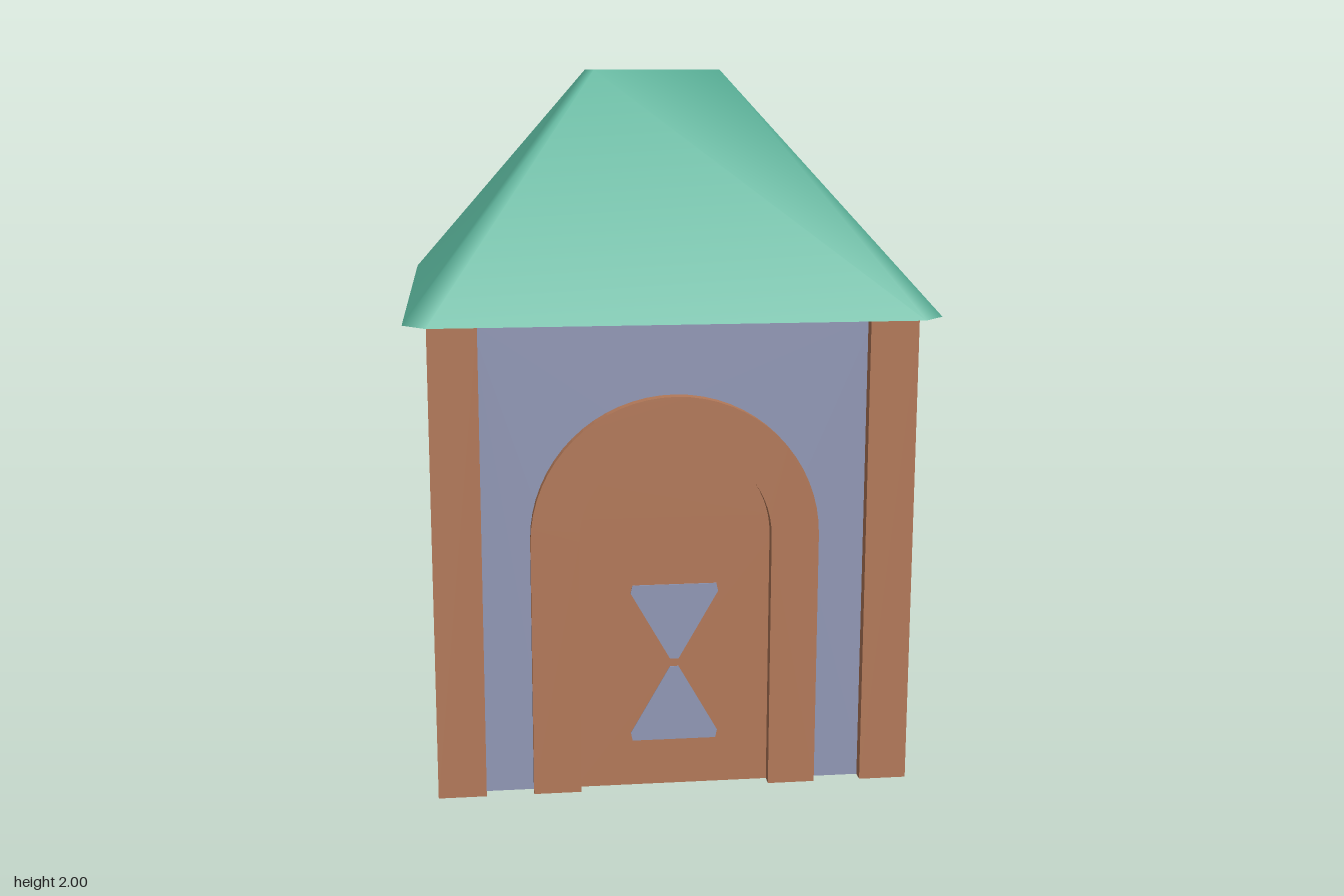
import * as THREE from 'three';

const slate = new THREE.MeshStandardMaterial({ name: 'slateWall', color: 0x9198b6 });
const wood = new THREE.MeshStandardMaterial({ name: 'terracottaWood', color: 0xb37959 });
const green = new THREE.MeshStandardMaterial({ name: 'greenRoof', color: 0x58b198 });

const EAVE = 1.34, WALL_IN = 0.567, WALL_OUT = 0.633, FACE_IN = 0.533, FACE_OUT = 0.667;

function add(parent, name, geometry, material) {
  const mesh = new THREE.Mesh(geometry, material);
  mesh.name = name;
  parent.add(mesh);
  return mesh;
}

// extrudes a shape between two depths along z
function slab(shape, z0, z1) {
  const g = new THREE.ExtrudeGeometry(shape, { depth: z1 - z0, bevelEnabled: false, curveSegments: 16 });
  return g.translate(0, 0, z0);
}

function polygon(points) {
  return new THREE.Shape(points.map(([x, y]) => new THREE.Vector2(x, y)));
}

// rectangle centred on x, with optional cut corners
function rect(w, y0, y1, c = 0) {
  if (!c) return polygon([[-w, y0], [w, y0], [w, y1], [-w, y1]]);
  return polygon([[-w + c, y0], [w - c, y0], [w, y0 + c], [w, y1 - c],
    [w - c, y1], [-w + c, y1], [-w, y1 - c], [-w, y0 + c]]);
}

// round-topped doorway outline
function arch(r, spring = 0.733) {
  const s = new THREE.Shape();
  s.moveTo(-r, 0).lineTo(r, 0).lineTo(r, spring);
  s.absarc(0, spring, r, 0, Math.PI, false);
  s.lineTo(-r, 0);
  return s;
}

function plainSide() {
  const g = new THREE.Group();
  add(g, 'wall', slab(rect(0.55, 0, EAVE), WALL_IN, WALL_OUT), slate);
  return g;
}

function windowSide() {
  const g = new THREE.Group();
  const wall = rect(0.55, 0, EAVE);
  wall.holes.push(rect(0.12, 0.36, 0.98));
  add(g, 'windowWall', slab(wall, WALL_IN, WALL_OUT), slate);
  // raised window frame
  const frame = rect(0.15, 0.33, 1.01);
  frame.holes.push(rect(0.09, 0.39, 0.95));
  add(g, 'windowFrame', slab(frame, FACE_IN, FACE_OUT), wood);
  // flat border around the frame, outside and inside
  const border = rect(0.207, 0.275, 1.065, 0.015);
  border.holes.push(rect(0.12, 0.36, 0.98));
  add(g, 'windowBorderOutside', slab(border, WALL_OUT, WALL_OUT + 0.004), wood);
  add(g, 'windowBorderInside', slab(border, WALL_IN - 0.004, WALL_IN), wood);
  return g;
}

function doorSide() {
  const g = new THREE.Group();
  // wall with the doorway notched out of its foot
  const wall = new THREE.Shape();
  wall.moveTo(-0.55, 0).lineTo(-0.35, 0).lineTo(-0.35, 0.733);
  wall.absarc(0, 0.733, 0.35, Math.PI, 0, true);
  wall.lineTo(0.35, 0).lineTo(0.55, 0).lineTo(0.55, EAVE).lineTo(-0.55, EAVE);
  add(g, 'doorWall', slab(wall, WALL_IN, WALL_OUT), slate);
  // arched frame
  const frame = new THREE.Shape();
  frame.moveTo(0.267, 0).lineTo(0.4, 0).lineTo(0.4, 0.733);
  frame.absarc(0, 0.733, 0.4, 0, Math.PI, false);
  frame.lineTo(-0.4, 0).lineTo(-0.267, 0).lineTo(-0.267, 0.733);
  frame.absarc(0, 0.733, 0.267, Math.PI, 0, true);
  add(g, 'doorFrame', slab(frame, FACE_IN, FACE_OUT), wood);
  add(g, 'doorPanel', slab(arch(0.28), WALL_IN, WALL_OUT), wood);
  // two painted triangles, on both faces of the door
  const half = [[-0.012, 0.375], [0.012, 0.375], [0.123, 0.57], [0.118, 0.593], [-0.118, 0.593], [-0.123, 0.57]];
  const upper = polygon(half);
  const lower = polygon(half.map(([x, y]) => [-x, 0.727 - y]));
  for (const shape of [upper, lower]) {
    add(g, 'doorTriangleOutside', slab(shape, WALL_OUT, WALL_OUT + 0.003), slate);
    add(g, 'doorTriangleInside', slab(shape, WALL_IN - 0.003, WALL_IN), slate);
  }
  return g;
}

function indexed(points, index) {
  const g = new THREE.BufferGeometry();
  g.setAttribute('position', new THREE.Float32BufferAttribute(points.flat(), 3));
  g.setIndex(index);
  g.computeVertexNormals();
  return g;
}

// repeats points at the four corners by quarter turns about y
function ring(y, corner) {
  const out = [];
  for (let k = 0; k < 4; k++) {
    for (let [x, z] of corner) {
      for (let i = 0; i < k; i++) [x, z] = [-z, x];
      out.push([x, y, z]);
    }
  }
  return out;
}

function buildRoof() {
  const g = new THREE.Group();
  g.name = 'roof';
  const eave = ring(EAVE, [[0.73, 0.667], [0.667, 0.73]]);
  const rim = ring(2, [[0.183, 0.183]]);
  const base = ring(1.955, [[0.093, 0.093]]);

  // slopes with softly shaded hips
  const slopes = [], bowl = [];
  for (let k = 0; k < 4; k++) {
    const n = (k + 1) % 4, a = 2 * k, b = a + 1, c = 2 * n;
    slopes.push(a, 8 + k, b, b, 8 + k, 8 + n, b, 8 + n, c);
    bowl.push(4 + k, 4 + n, k, 4 + n, n, k);
  }
  add(g, 'roofSlopes', indexed([...eave, ...rim], slopes), green);

  // shallow sunken top
  bowl.push(4, 6, 5, 4, 7, 6);
  add(g, 'roofHollow', indexed([...rim, ...base], bowl), green);

  // underside
  const under = [];
  for (let i = 1; i < 7; i++) under.push(0, i, i + 1);
  add(g, 'roofUnderside', indexed(eave, under), green);
  return g;
}

export function createModel() {
  const model = new THREE.Group();
  model.name = 'hut';

  const sides = [
    ['frontSide', doorSide(), 0],
    ['leftSide', plainSide(), Math.PI / 2],
    ['backSide', windowSide(), Math.PI],
    ['rightSide', windowSide(), -Math.PI / 2],
  ];
  for (const [name, side, turn] of sides) {
    side.name = name;
    side.rotation.y = turn;
    model.add(side);
  }

  // corner posts
  for (const x of [-0.6, 0.6]) {
    for (const z of [-0.6, 0.6]) {
      const post = add(model, 'cornerPost', new THREE.BoxGeometry(0.134, EAVE, 0.134), wood);
      post.position.set(x, EAVE / 2, z);
    }
  }

  model.add(buildRoof());
  return model;
}
